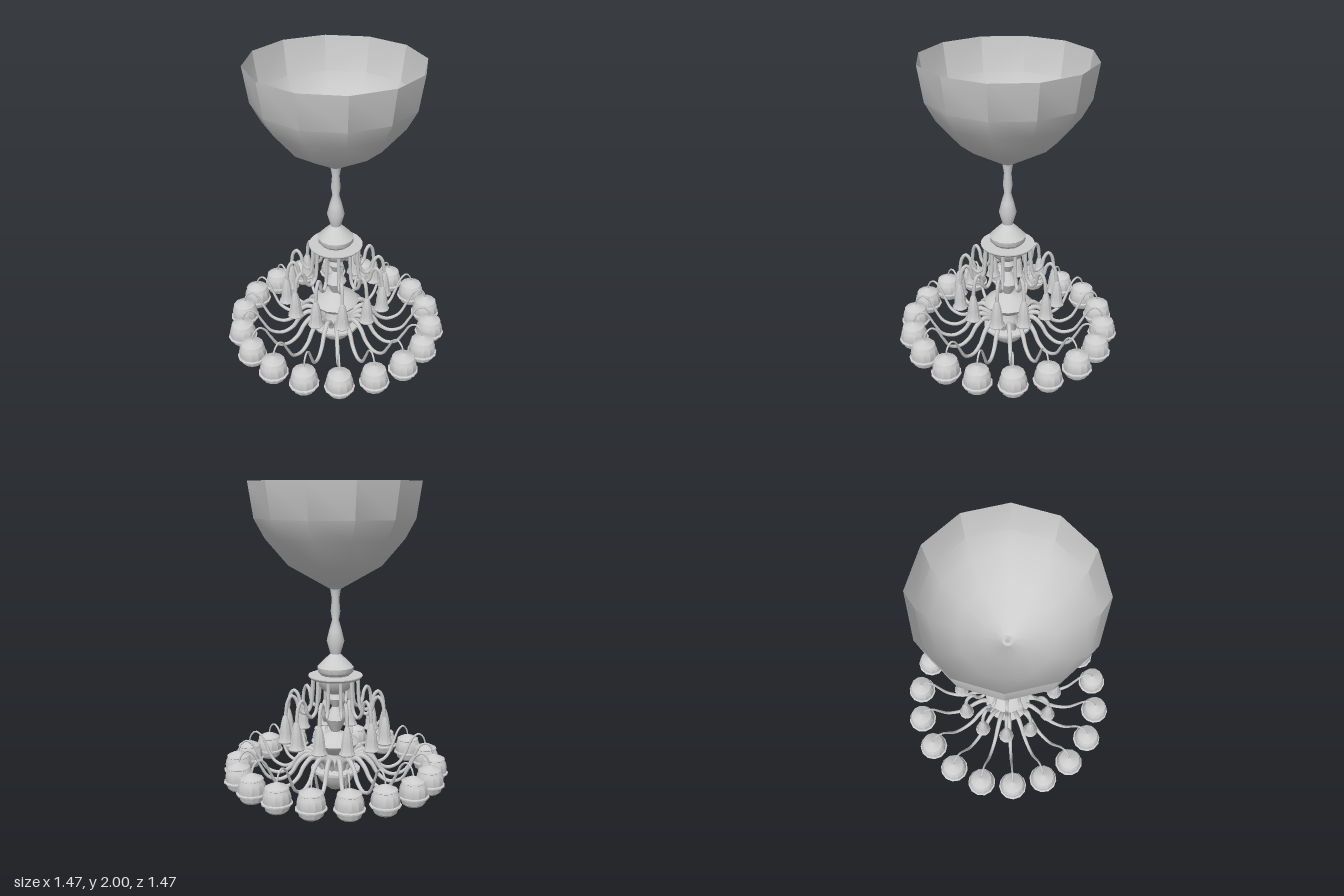
import * as THREE from 'three';
import { toCreasedNormals } from 'three/addons/utils/BufferGeometryUtils.js';

const material = new THREE.MeshStandardMaterial({ color: 0xcccccc, side: THREE.DoubleSide });

function addMesh(parent, name, geometry) {
  const mesh = new THREE.Mesh(geometry, material);
  mesh.name = name;
  parent.add(mesh);
  return mesh;
}

// Turned part from [radius, height] pairs, listed bottom to top
function turned(points, sides, crease = 0.5) {
  const profile = points.map(([r, y]) => new THREE.Vector2(r, y));
  return toCreasedNormals(new THREE.LatheGeometry(profile, sides), crease);
}

// Curved arm in the xy plane whose radius tapers from r0 to r1
function taperedArm(points, r0, r1, segments = 36, sides = 7) {
  const curve = new THREE.CatmullRomCurve3(points.map(([x, y]) => new THREE.Vector3(x, y, 0)));
  const geometry = new THREE.TubeGeometry(curve, segments, r0, sides);
  const position = geometry.attributes.position;
  const vertex = new THREE.Vector3();
  for (let i = 0; i <= segments; i++) {
    const centre = curve.getPointAt(i / segments);
    const scale = THREE.MathUtils.lerp(1, r1 / r0, i / segments);
    for (let j = 0; j <= sides; j++) {
      const k = i * (sides + 1) + j;
      vertex.fromBufferAttribute(position, k).sub(centre).multiplyScalar(scale).add(centre);
      position.setXYZ(k, vertex.x, vertex.y, vertex.z);
    }
  }
  return geometry;
}

// Repeats a branch around the vertical axis
function ring(parent, name, count, offset, build) {
  for (let i = 0; i < count; i++) {
    const branch = new THREE.Group();
    branch.name = name;
    branch.rotation.y = -(offset + (i * Math.PI * 2) / count);
    build(branch);
    parent.add(branch);
  }
}

export function createModel() {
  const model = new THREE.Group();
  model.name = 'chandelier';

  // Open faceted bowl at the top
  addMesh(model, 'bowl', turned([
    [0.03, 1.33], [0.14, 1.393], [0.3, 1.485], [0.445, 1.655], [0.51, 1.775], [0.545, 2],
  ], 12));

  // Upper stem, flaring to a cone over the plate
  addMesh(model, 'upperStem', turned([
    [0.09, 0.775], [0.115, 0.8], [0.118, 0.83], [0.075, 0.875], [0.033, 0.915],
    [0.057, 1.0], [0.04, 1.07], [0.022, 1.135], [0.031, 1.19], [0.024, 1.27],
    [0.035, 1.335], [0.015, 1.337],
  ], 14, 0.7));

  // Plate with the cup below it
  addMesh(model, 'plate', turned([
    [0, 0.755], [0.165, 0.757], [0.176, 0.77], [0.176, 0.776], [0, 0.78],
  ], 24));
  addMesh(model, 'plateCup', turned([
    [0, 0.65], [0.045, 0.655], [0.09, 0.685], [0.12, 0.725], [0.128, 0.757],
  ], 16, 0.7));

  // Lower stem: beads, wide bulge and neck
  addMesh(model, 'lowerStem', turned([
    [0.1, 0.14], [0.07, 0.2], [0.06, 0.25], [0.1, 0.272], [0.14, 0.305], [0.157, 0.33],
    [0.14, 0.35], [0.09, 0.375], [0.03, 0.4], [0.072, 0.485], [0.022, 0.565],
    [0.05, 0.62], [0.03, 0.66],
  ], 14, 0.7));

  // Hub ball with its flange
  addMesh(model, 'hubBall', turned([
    [0, 0], [0.04, 0.01], [0.085, 0.045], [0.115, 0.085], [0.13, 0.135],
    [0.163, 0.135], [0.163, 0.15], [0.1, 0.165], [0, 0.17],
  ], 16, 0.7));

  // Upper ring: curled arms carrying bells
  const bellArm = taperedArm([
    [0.15, 0.76], [0.155, 0.65], [0.17, 0.56], [0.205, 0.53], [0.24, 0.56],
    [0.258, 0.625], [0.285, 0.652], [0.312, 0.62], [0.33, 0.51],
  ], 0.012, 0.012);
  const bell = turned([
    [0.048, 0.345], [0.052, 0.352], [0.04, 0.375], [0.037, 0.42], [0.03, 0.465],
    [0.02, 0.505], [0.014, 0.522], [0, 0.526],
  ], 10);
  const clapper = new THREE.SphereGeometry(0.018, 8, 6);
  ring(model, 'bellBranch', 12, 0, (branch) => {
    addMesh(branch, 'bellArm', bellArm);
    addMesh(branch, 'bell', bell).position.x = 0.33;
    addMesh(branch, 'clapper', clapper).position.set(0.33, 0.35, 0);
  });

  // Lower ring: long waving arms that thin out into hooks holding lamps
  const lampArm = taperedArm([
    [0.09, 0.15], [0.13, 0.225], [0.19, 0.255], [0.25, 0.215], [0.3, 0.145], [0.37, 0.11],
    [0.45, 0.135], [0.505, 0.22], [0.55, 0.3], [0.59, 0.322], [0.625, 0.295], [0.642, 0.245],
  ], 0.019, 0.005, 48);
  const lamp = turned([
    [0, 0.07], [0.055, 0.07], [0.072, 0.085], [0.083, 0.12], [0.097, 0.122], [0.097, 0.13],
    [0.086, 0.134], [0.088, 0.16], [0.082, 0.19], [0.07, 0.212], [0.076, 0.216],
    [0.072, 0.224], [0.04, 0.24], [0, 0.255],
  ], 12);
  ring(model, 'lampBranch', 18, THREE.MathUtils.degToRad(5.2), (branch) => {
    addMesh(branch, 'lampArm', lampArm);
    addMesh(branch, 'lamp', lamp).position.x = 0.642;
  });

  return model;
}
